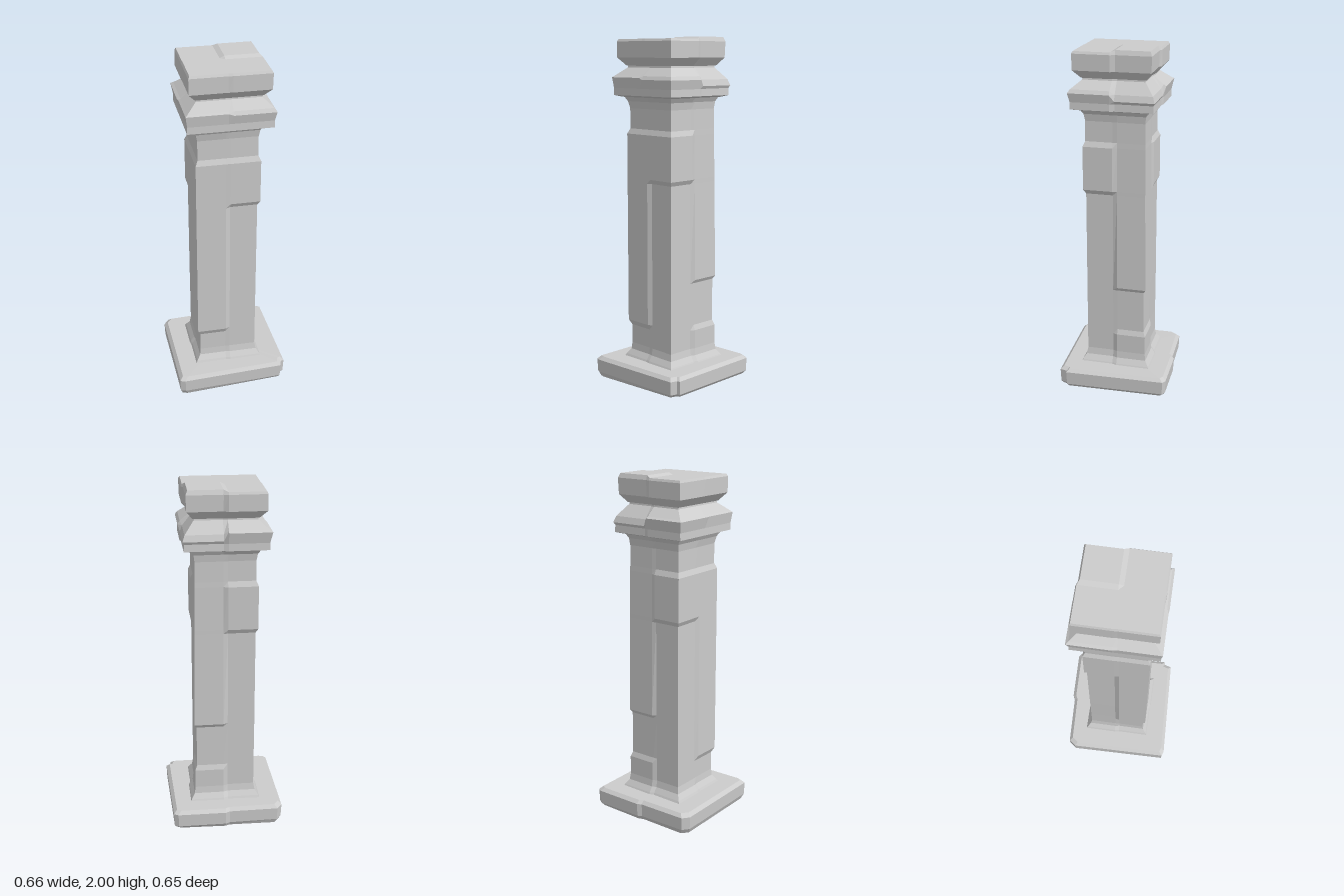
import * as THREE from 'three';

const stone = new THREE.MeshStandardMaterial({ color: 0xcccccc, flatShading: true });

function meshFrom(name, tris) {
  const geo = new THREE.BufferGeometry();
  geo.setAttribute('position', new THREE.Float32BufferAttribute(tris.flat(), 3));
  geo.computeVertexNormals();
  const mesh = new THREE.Mesh(geo, stone);
  mesh.name = name;
  return mesh;
}

const quad = (t, a, b, c, d) => t.push(a, b, c, a, c, d);

// Side walls between successive rings (counter-clockwise from above)
function walls(t, rings) {
  for (let r = 0; r + 1 < rings.length; r++) {
    const lo = rings[r], hi = rings[r + 1], n = lo.length;
    for (let i = 0; i < n; i++) {
      const j = (i + 1) % n;
      quad(t, lo[i], lo[j], hi[j], hi[i]);
    }
  }
}

// Rotate a point into quadrant q: front left, back left, back right, front right
function turn(x, y, z, q) {
  for (let i = 0; i < q; i++) [x, z] = [z, -x];
  return [x, y, z];
}

// A square ring whose four quadrants have their own size and height,
// meeting in narrow sloped steps on the middle of each face
const GAP = 0.013;
function quarterRing(y, sizes) {
  const ring = [];
  sizes.forEach((h, q) => {
    const qy = Array.isArray(y) ? y[q] : y;
    ring.push(turn(GAP, qy, h, q), turn(h, qy, h, q), turn(h, qy, GAP, q));
  });
  return ring;
}

// Closing face with the same quadrant steps
function closeRing(t, ring, up) {
  const faces = [];
  const mid = [0, 1, 2, 3].map(q => turn(GAP, ring[q * 3 + 1][1], GAP, q));
  for (let q = 0; q < 4; q++) {
    const n = (q + 1) % 4;
    quad(faces, mid[q], ring[q * 3], ring[q * 3 + 1], ring[q * 3 + 2]);
    quad(faces, mid[q], ring[q * 3 + 2], ring[n * 3], mid[n]);
  }
  quad(faces, ...mid);
  t.push(...(up ? faces : faces.reverse()));
}

function quarterLoft(name, sections) {
  const t = [];
  const rings = sections.map(([y, ...sizes]) => quarterRing(y, sizes));
  walls(t, rings);
  closeRing(t, rings[0], false);
  closeRing(t, rings[rings.length - 1], true);
  return meshFrom(name, t);
}

// Worn plinth: irregular outline with broken corners and beveled edges
function plinth() {
  const outline = [
    [-0.29, 0.325], [0.3, 0.302], [0.312, 0.262], [0.33, 0.258], [0.315, -0.315], [0.29, -0.33],
    [0.01, -0.325], [-0.015, -0.312], [-0.3, -0.302], [-0.33, -0.262], [-0.32, 0.315],
  ];
  const ring = (y, s, tilt) => outline.map(([x, z]) =>
    [x * s, y + tilt * (x + 0.33), z * s]);
  const rings = [ring(0, 0.95, 0.03), ring(0.03, 0.99, 0.01), ring(0.105, 1, 0.015), ring(0.125, 0.94, 0.012)];
  const t = [];
  walls(t, rings);
  const n = outline.length, top = rings[3], bottom = rings[0];
  for (let i = 0; i < n; i++) {
    const j = (i + 1) % n;
    t.push([0, 0.131, 0], top[i], top[j], [0, 0.01, 0], bottom[j], bottom[i]);
  }
  return meshFrom('plinth', t);
}

export function createModel() {
  const pillar = new THREE.Group();
  pillar.name = 'stonePillar';
  pillar.add(plinth());

  // Sizes per quadrant: front left, back left, back right, front right
  const shaft = quarterLoft('shaft', [
    [0.11, 0.21, 0.22, 0.21, 0.205],
    [0.14, 0.195, 0.205, 0.195, 0.19],
    [0.17, 0.175, 0.185, 0.175, 0.17],
    [0.21, 0.168, 0.18, 0.168, 0.166],
    [0.32, 0.168, 0.18, 0.168, 0.166],
    [0.35, 0.168, 0.169, 0.168, 0.181],
    [0.60, 0.168, 0.169, 0.169, 0.181],
    [0.62, 0.168, 0.181, 0.169, 0.181],
    [1.18, 0.168, 0.174, 0.169, 0.181],
    [1.205, 0.182, 0.174, 0.182, 0.181],
    [1.455, 0.182, 0.172, 0.182, 0.181],
    [1.485, 0.169, 0.171, 0.169, 0.168],
    [1.60, 0.168, 0.17, 0.168, 0.168],
    [1.64, 0.175, 0.175, 0.175, 0.177],
    [1.68, 0.2, 0.196, 0.2, 0.2],
  ]);
  shaft.position.x = -0.003;
  pillar.add(shaft);

  // Flared collar and the narrow throat above it
  pillar.add(quarterLoft('collar', [
    [1.665, 0.2, 0.195, 0.2, 0.2],
    [1.675, 0.235, 0.228, 0.235, 0.235],
    [1.715, 0.234, 0.226, 0.234, 0.234],
    [[1.765, 1.73, 1.775, 1.775], 0.245, 0.234, 0.247, 0.242],
    [[1.785, 1.765, 1.785, 1.785], 0.232, 0.222, 0.232, 0.23],
    [1.83, 0.178, 0.17, 0.178, 0.178],
    [1.85, 0.175, 0.168, 0.175, 0.175],
  ]));

  // Top block with one quarter raised and set back
  pillar.add(quarterLoft('topBlock', [
    [1.84, 0.182, 0.175, 0.182, 0.182],
    [1.885, 0.222, 0.21, 0.222, 0.22],
    [1.975, 0.224, 0.213, 0.222, 0.221],
    [[1.988, 2, 1.988, 1.988], 0.217, 0.203, 0.216, 0.214],
  ]));
  return pillar;
}
